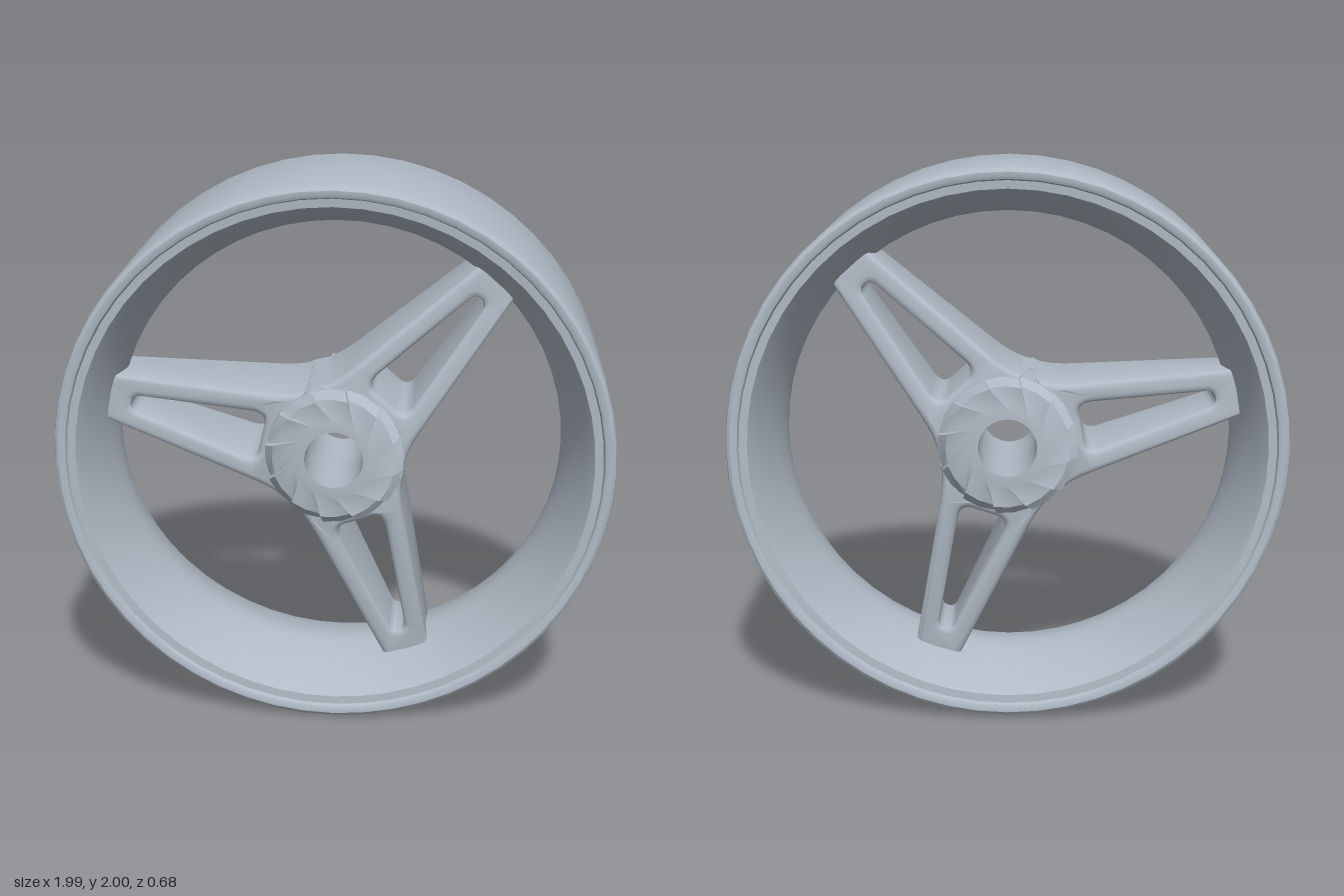
import * as THREE from 'three';
import { toCreasedNormals } from 'three/addons/utils/BufferGeometryUtils.js';

const steel = new THREE.MeshStandardMaterial({ color: 0xb0bac5 });
steel.name = 'brushed steel';

// Rim: closed section of radius and half-width, mirrored about the middle
function rimGeometry() {
  const outer = [[0.993, 0], [0.993, 0.3], [0.988, 0.316], [0.976, 0.325], [0.962, 0.325], [0.951, 0.32],
    [0.946, 0.308], [0.917, 0.306], [0.912, 0.298]];
  const half = outer.map(([r, z]) => new THREE.Vector2(r, z));
  // inner wall swells smoothly towards the middle
  for (let i = 1; i <= 10; i++) {
    const t = 1 - i / 10;
    half.push(new THREE.Vector2(0.815 + 0.094 * Math.pow(t, 1.6), 0.295 * t));
  }
  const other = half.slice(0, -1).reverse().map((p) => new THREE.Vector2(p.x, -p.y));
  const g = new THREE.LatheGeometry([...half, ...other], 56);
  g.rotateX(Math.PI / 2);
  return toCreasedNormals(g, 0.6);
}

// Spoke along +x: tapered slab with a rounded slot, flared at the root
function spokeGeometry() {
  const s = new THREE.Shape();
  s.moveTo(0.15, -0.205);
  s.quadraticCurveTo(0.2, -0.178, 0.28, -0.166);
  s.lineTo(0.87, -0.081);
  s.lineTo(0.87, 0.081);
  s.lineTo(0.28, 0.166);
  s.quadraticCurveTo(0.2, 0.178, 0.15, 0.205);
  s.closePath();

  const slot = new THREE.Path();
  slot.moveTo(0.32, -0.087);
  slot.quadraticCurveTo(0.268, -0.09, 0.27, -0.045);
  slot.lineTo(0.27, 0.045);
  slot.quadraticCurveTo(0.268, 0.09, 0.32, 0.087);
  slot.lineTo(0.735, 0.03);
  slot.quadraticCurveTo(0.76, 0.025, 0.76, 0);
  slot.quadraticCurveTo(0.76, -0.025, 0.735, -0.03);
  slot.closePath();
  s.holes.push(slot);

  const bevel = 0.022;
  const g = new THREE.ExtrudeGeometry(s, {
    depth: 0.41 - 2 * bevel, bevelEnabled: true, bevelThickness: bevel, bevelSize: bevel,
    bevelOffset: -bevel, bevelSegments: 3, curveSegments: 6,
  });
  g.translate(0, 0, -(0.41 - 2 * bevel) / 2);
  // thin the slab towards the rim
  const p = g.attributes.position;
  for (let i = 0; i < p.count; i++) {
    p.setZ(i, p.getZ(i) * (1 - 0.62 * Math.max(0, p.getX(i) - 0.25)));
  }
  return toCreasedNormals(g, 0.6);
}

// Half hub: rings from bore to outer wall, with swirled saw teeth on the face
function hubGeometry() {
  // radius, height, tooth depth, swirl angle
  const rings = [[0.105, 0, 0, 0], [0.105, 0.262, 0, 0], [0.14, 0.262, 0, 0],
    [0.222, 0.262, 0.03, 0.3], [0.25, 0.235, 0.035, 0.36], [0.25, 0, 0, 0.36]];
  const teeth = 12, steps = 2, pos = [], idx = [];
  const columns = teeth * (steps + 1), n = rings.length;
  for (let i = 0; i < teeth; i++) {
    for (let j = 0; j <= steps; j++) {
      const t = j / steps;
      for (const [r, z, depth, swirl] of rings) {
        const a = ((i + t) / teeth) * Math.PI * 2 + swirl;
        pos.push(r * Math.cos(a), r * Math.sin(a), z - depth * t);
      }
    }
  }
  for (let c = 0; c < columns; c++) {
    const d = (c + 1) % columns;
    for (let k = 0; k < n - 1; k++) {
      const a = c * n + k, b = d * n + k;
      idx.push(a, a + 1, b + 1, a, b + 1, b);
    }
  }
  const g = new THREE.BufferGeometry();
  g.setAttribute('position', new THREE.Float32BufferAttribute(pos, 3));
  g.setIndex(idx);
  return toCreasedNormals(g, 0.6);
}

export function createModel() {
  const model = new THREE.Group();
  model.name = 'wheel';
  const wheel = new THREE.Group();
  wheel.name = 'wheelBody';
  wheel.position.y = 1.004;
  wheel.rotation.x = 0.0165;
  model.add(wheel);

  const add = (name, geometry) => {
    const mesh = new THREE.Mesh(geometry, steel);
    mesh.name = name;
    wheel.add(mesh);
    return mesh;
  };

  add('rim', rimGeometry());

  // three spokes
  const spoke = spokeGeometry();
  for (let i = 0; i < 3; i++) {
    add('spoke' + (i + 1), spoke).rotation.z = THREE.MathUtils.degToRad(48 + i * 120);
  }

  // toothed hub, front and back halves
  const hub = hubGeometry();
  add('hubFront', hub);
  add('hubBack', hub).rotation.y = Math.PI;

  return model;
}
